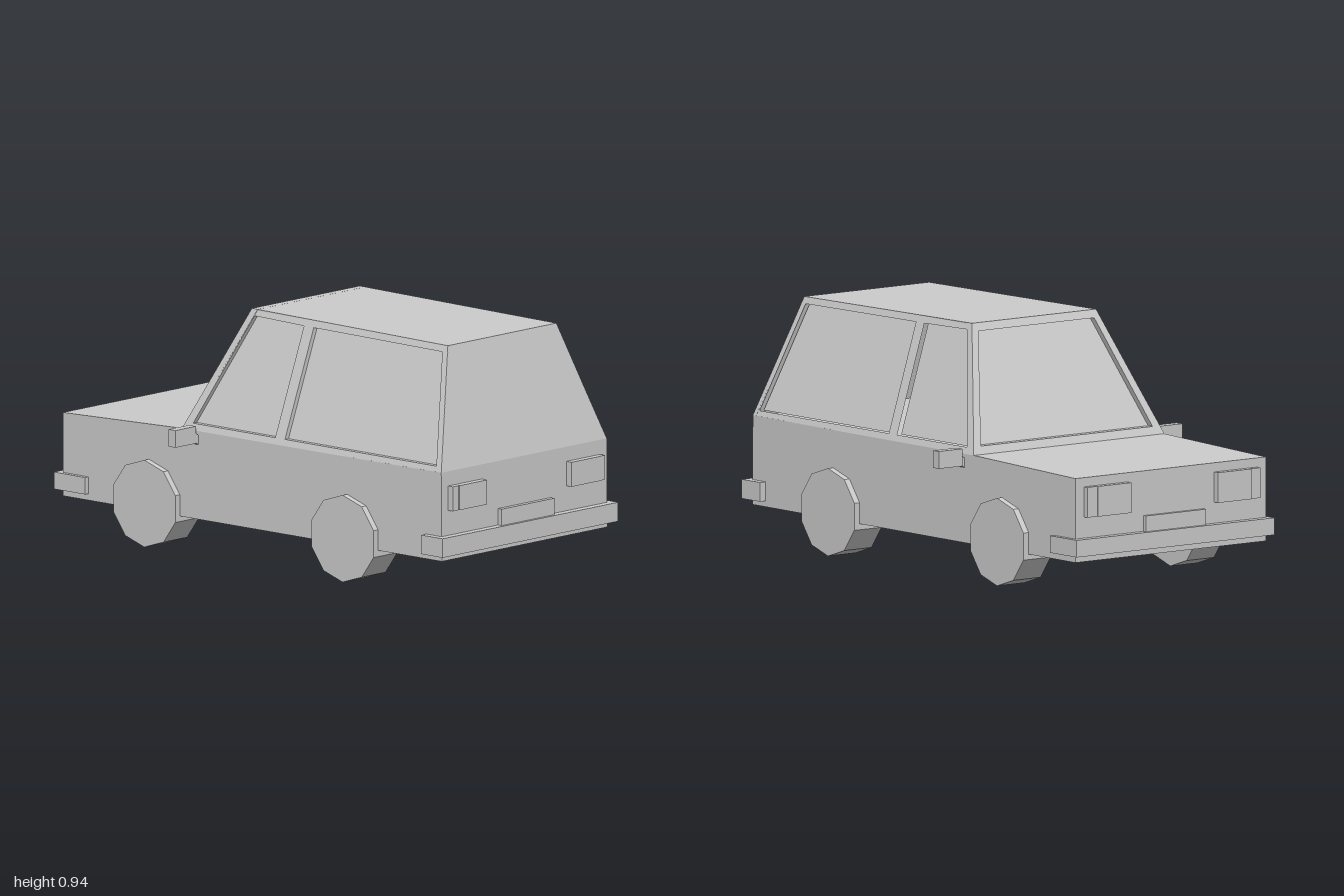
import * as THREE from 'three';

const material = new THREE.MeshStandardMaterial({ color: 0xcccccc, flatShading: true });
const glassMaterial = new THREE.MeshStandardMaterial({ color: 0xcccccc, flatShading: true, side: THREE.DoubleSide });

export function createModel() {
  const model = new THREE.Group();

  const add = (name, geometry, mat = material) => {
    const mesh = new THREE.Mesh(geometry, mat);
    mesh.name = name;
    model.add(mesh);
    return mesh;
  };

  // Box given by its extents on each axis
  const box = (name, x0, x1, y0, y1, z0, z1) => {
    const g = new THREE.BoxGeometry(Math.abs(x1 - x0), y1 - y0, Math.abs(z1 - z0));
    g.translate((x0 + x1) / 2, (y0 + y1) / 2, (z0 + z1) / 2);
    return add(name, g);
  };

  const makeShape = (points) => new THREE.Shape(points.map(([a, b]) => new THREE.Vector2(a, b)));

  // Moves flat-shape vertices (u, v, w) onto a sloping plane
  const bend = (geometry, map) => {
    const p = geometry.attributes.position;
    for (let i = 0; i < p.count; i++) p.setXYZ(i, ...map(p.getX(i), p.getY(i), p.getZ(i)));
    geometry.computeVertexNormals();
    return geometry;
  };

  // Sloping body panel with window openings and recessed glass
  const panel = (name, outline, windows, depth, map) => {
    const shape = makeShape(outline);
    shape.holes = windows.map(makeShape);
    const inset = (u, v, w) => map(u, v, w - depth);
    add(name, bend(new THREE.ExtrudeGeometry(shape, { depth, bevelEnabled: false }), inset));
    windows.forEach((w) => {
      const glass = new THREE.ShapeGeometry(makeShape(w));
      add(name + 'Glass', bend(glass, (u, v) => map(u, v, -depth * 0.9)), glassMaterial);
    });
  };

  // Lower body with bonnet, a side profile extruded across the width
  const body = new THREE.ExtrudeGeometry(
    makeShape([[-0.97, 0.14], [0.97, 0.135], [0.97, 0.455], [0.36, 0.475], [-0.967, 0.48]]),
    { depth: 0.92, bevelEnabled: false });
  body.translate(0, 0, -0.46);
  body.rotateY(Math.PI / 2);
  add('lowerBody', body);

  // Cabin sides leaning inwards, each with two windows
  const sideX = (y) => 0.46 - 0.16 * (y - 0.478) / 0.457;
  const outline = [[0.967, 0.478], [0.855, 0.93], [-0.15, 0.94], [-0.36, 0.475]];
  const windows = [
    [[0.935, 0.5], [0.835, 0.905], [0.175, 0.91], [0.16, 0.5]],
    [[0.11, 0.5], [0.125, 0.91], [-0.13, 0.915], [-0.31, 0.5]],
  ];
  for (const s of [1, -1]) {
    const flip = (pts) => pts.map(([z, y]) => [-s * z, y]);
    panel(s > 0 ? 'leftCabinSide' : 'rightCabinSide', flip(outline), windows.map(flip), 0.022,
      (u, y, w) => [s * (sideX(y) + w), y, -s * u]);
  }

  // Windscreen, tailgate and roof
  panel('windscreenFrame',
    [[-0.46, 0.475], [0.46, 0.475], [0.3, 0.94], [-0.3, 0.94]],
    [[[-0.415, 0.505], [0.415, 0.505], [0.28, 0.91], [-0.28, 0.91]]], 0.03,
    (u, y, w) => [-u, y, -(0.36 - 0.21 * (y - 0.475) / 0.465 + w)]);
  panel('tailgate',
    [[-0.46, 0.48], [0.46, 0.48], [0.3, 0.93], [-0.3, 0.93]], [], 0.02,
    (u, y, w) => [u, y, 0.967 - 0.112 * (y - 0.48) / 0.45 + w]);
  panel('roof',
    [[-0.3, -0.855], [0.3, -0.855], [0.3, 0.15], [-0.3, 0.15]], [], 0.015,
    (u, v, w) => [u, 0.93 + 0.01 * (v + 0.855) / 1.005 + w, -v]);

  // Bumpers and number plates
  box('tailBumper', -0.488, 0.488, 0.162, 0.235, 0.89, 1);
  box('noseBumper', -0.478, 0.478, 0.16, 0.225, -1, -0.84);
  box('tailPlate', -0.147, 0.147, 0.23, 0.298, 0.95, 0.988);
  box('nosePlate', -0.16, 0.13, 0.22, 0.285, -0.985, -0.95);

  for (const s of [1, -1]) {
    const side = s > 0 ? 'left' : 'right';

    // Lamps, each with a narrow outer section
    box(side + 'TailLamp', s * 0.235, s * 0.39, 0.33, 0.424, 0.95, 0.995);
    box(side + 'TailIndicator', s * 0.39, s * 0.423, 0.33, 0.424, 0.95, 0.992);
    box(side + 'Headlamp', s * 0.21, s * 0.37, 0.305, 0.42, -0.995, -0.95);
    box(side + 'NoseIndicator', s * 0.37, s * 0.418, 0.305, 0.42, -0.99, -0.95);

    // Door mirror on a slanted stalk
    box(side + 'Mirror', s * 0.475, s * 0.589, 0.43, 0.496, -0.31, -0.275);
    const stalk = new THREE.BoxGeometry(0.06, 0.03, 0.03);
    stalk.rotateZ(s * 0.6);
    stalk.translate(s * 0.463, 0.443, -0.29);
    add(side + 'MirrorStalk', stalk);

    // Ten-sided wheels
    for (const [end, z] of [['Tail', 0.485], ['Nose', -0.53]]) {
      const wheel = new THREE.CylinderGeometry(0.167, 0.167, 0.132, 10);
      wheel.rotateY(Math.PI / 2);
      wheel.rotateZ(Math.PI / 2);
      wheel.translate(s * 0.419, 0.167, z);
      add(side + end + 'Wheel', wheel);
    }
  }

  return model;
}
